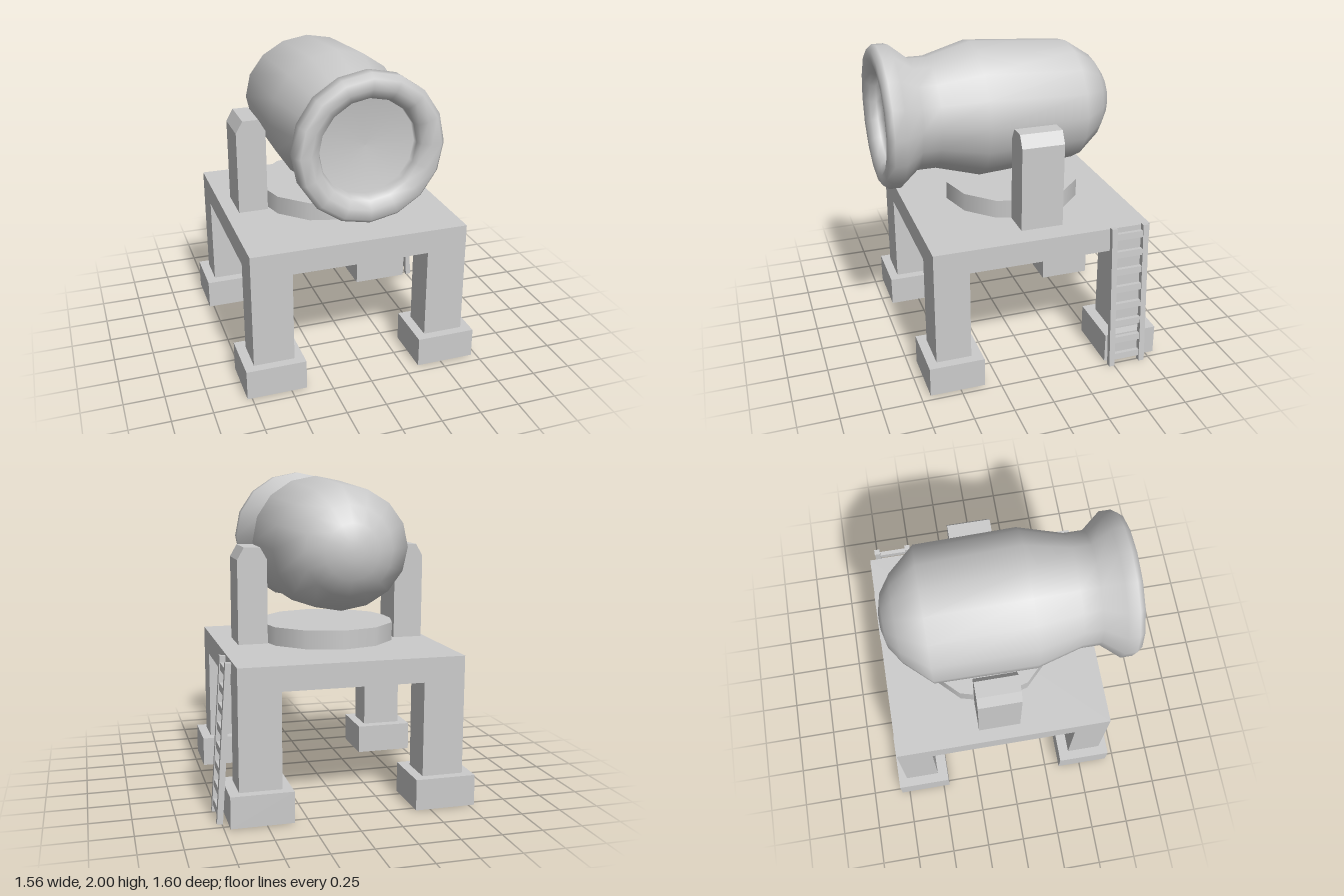
import * as THREE from 'three';

const grey = new THREE.MeshStandardMaterial({ color: 0xcccccc });
const open = new THREE.MeshStandardMaterial({ color: 0xcccccc, side: THREE.DoubleSide });

export function createModel() {
  const model = new THREE.Group();

  function add(name, geometry, x, y, z, parent = model, material = grey) {
    const mesh = new THREE.Mesh(geometry, material);
    mesh.name = name;
    mesh.position.set(x, y, z);
    parent.add(mesh);
    return mesh;
  }

  // Box given by its limits
  function box(name, x0, x1, y0, y1, z0, z1, parent) {
    return add(name, new THREE.BoxGeometry(x1 - x0, y1 - y0, z1 - z0),
      (x0 + x1) / 2, (y0 + y1) / 2, (z0 + z1) / 2, parent);
  }

  // Upright square tube, open at both ends
  function squareTube(name, w, h, d, x, y, z) {
    const g = new THREE.CylinderGeometry(Math.SQRT1_2, Math.SQRT1_2, 1, 4, 1, true)
      .rotateY(Math.PI / 4).scale(w, h, d).toNonIndexed();
    g.computeVertexNormals();
    return add(name, g, x, y, z, model, open);
  }

  // Flat top of a foot, with a hole where the leg enters
  function footTop(w, d, legX, legZ, legW, legD) {
    const rect = (path, x, y, a, b) => path.moveTo(x - a / 2, y - b / 2)
      .lineTo(x + a / 2, y - b / 2).lineTo(x + a / 2, y + b / 2)
      .lineTo(x - a / 2, y + b / 2).closePath();
    const shape = rect(new THREE.Shape(), 0, 0, w, d);
    shape.holes.push(rect(new THREE.Path(), legX, -legZ, legW, legD));
    return new THREE.ShapeGeometry(shape).rotateX(-Math.PI / 2);
  }

  // Platform
  const cx = -0.0325, cz = -0.055;
  box('platform', -0.72, 0.655, 0.78, 0.93, -0.745, 0.635);

  // Hollow legs standing in hollow feet
  for (const sx of [-1, 1]) {
    for (const sz of [-1, 1]) {
      const legX = cx + sx * 0.56, legZ = cz + sz * 0.58;
      const footX = cx + sx * 0.56, footZ = cz + sz * 0.575;
      squareTube('leg', 0.255, 0.58, 0.22, legX, 0.49, legZ);
      squareTube('foot', 0.375, 0.19, 0.345, footX, 0.105, footZ);
      add('footTop', footTop(0.375, 0.345, legX - footX, legZ - footZ, 0.255, 0.22),
        footX, 0.2, footZ, model, open);
    }
  }

  // Turntable
  add('turntable', new THREE.CylinderGeometry(0.435, 0.435, 0.115, 12), -0.04, 1.0125, -0.07);

  // Side posts with chamfered tops
  const postShape = new THREE.Shape([
    [-0.093, 0], [0.093, 0], [0.093, 0.525], [0.05, 0.6], [-0.05, 0.6], [-0.093, 0.525],
  ].map(([x, y]) => new THREE.Vector2(x, y)));
  for (const s of [-1, 1]) {
    const post = new THREE.ExtrudeGeometry(postShape, { depth: 0.265, bevelEnabled: false });
    add(s > 0 ? 'leftPost' : 'rightPost', post, -0.045 + s * 0.507, 0.955, -0.205);
  }

  // Barrel: rounded breech, swelling body, neck, flared muzzle and bore
  const profile = [
    [0, -0.69], [0.06, -0.69], [0.165, -0.665], [0.27, -0.593], [0.422, -0.43],
    [0.425, 0.19], [0.348, 0.465], [0.348, 0.58], [0.443, 0.695], [0.443, 0.767],
    [0.415, 0.802], [0.355, 0.802], [0.305, 0.775], [0.29, 0.735], [0.29, 0.69], [0, 0.68],
  ].map(([r, z]) => new THREE.Vector2(r, z));
  const barrel = new THREE.LatheGeometry(profile, 16).rotateX(Math.PI / 2);
  const p = barrel.attributes.position;
  for (let i = 0; i < p.count; i++) {
    // the ring at the breech is slightly flattened
    if (Math.abs(p.getZ(i) + 0.43) < 0.01) p.setY(i, p.getY(i) * 0.895);
  }
  add('barrel', barrel, -0.04, 1.557, 0);

  // Leaning ladder
  const ladder = new THREE.Group();
  ladder.name = 'ladder';
  ladder.position.set(0.73, 0.48, -0.586);
  ladder.rotation.z = 0.068;
  model.add(ladder);
  for (const s of [-1, 1]) {
    add('ladderRail', new THREE.BoxGeometry(0.035, 0.95, 0.036), 0, 0, s * 0.103, ladder);
  }
  for (let i = 0; i < 8; i++) {
    add('ladderRung', new THREE.BoxGeometry(0.026, 0.042, 0.17), 0, 0.415 - i * 0.1185, 0, ladder);
  }
  return model;
}
